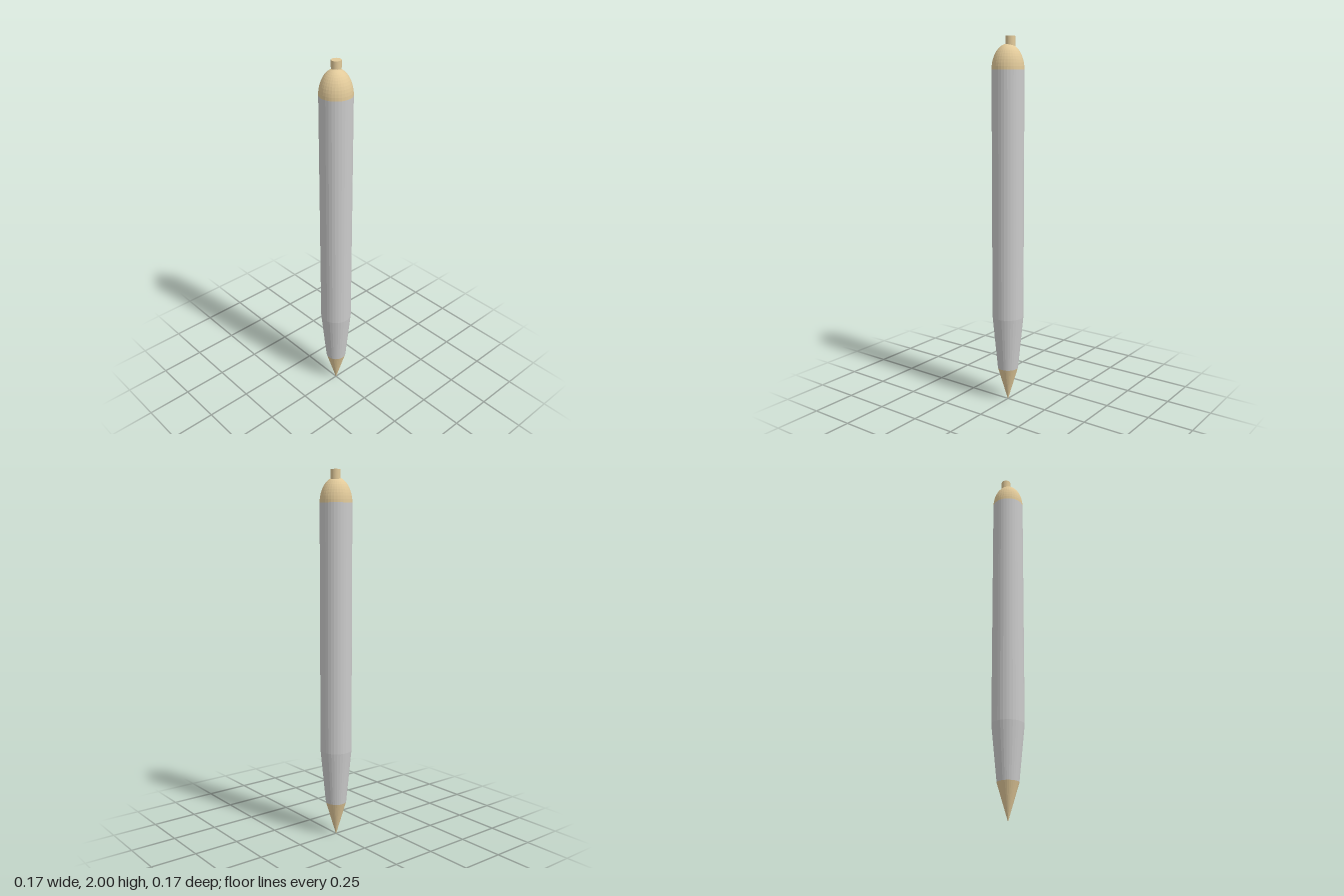
import * as THREE from 'three';

const SIDES = 32;

export function createModel() {
  const pen = new THREE.Group();
  pen.name = 'pen';

  const grey = new THREE.MeshStandardMaterial({ color: 0xcccccc, flatShading: true });
  const brass = new THREE.MeshStandardMaterial({ color: 0xe2ca9a, flatShading: true });

  const add = (name, geometry, material, x, y, z) => {
    const mesh = new THREE.Mesh(geometry, material);
    mesh.name = name;
    mesh.position.set(x, y, z);
    pen.add(mesh);
    return mesh;
  };

  // Round section standing between two heights
  const section = (name, material, rTop, rBottom, y0, y1, x = 0, z = 0) =>
    add(name, new THREE.CylinderGeometry(rTop, rBottom, y1 - y0, SIDES), material, x, (y0 + y1) / 2, z);

  // Writing point, tapered grip and straight barrel
  section('tip', brass, 0.057, 0.001, 0, 0.19);
  section('grip', grey, 0.086, 0.057, 0.19, 0.49);
  section('barrel', grey, 0.086, 0.086, 0.49, 1.83);

  // Domed cap: half a sphere stretched upward
  const dome = new THREE.SphereGeometry(0.086, SIDES, 12, 0, Math.PI * 2, 0, Math.PI / 2);
  dome.scale(1, 0.132 / 0.086, 1);
  add('cap', dome, brass, 0, 1.83, 0);

  // Push button, set slightly off the axis
  section('button', brass, 0.026, 0.026, 1.88, 2, -0.008, -0.009);

  return pen;
}
